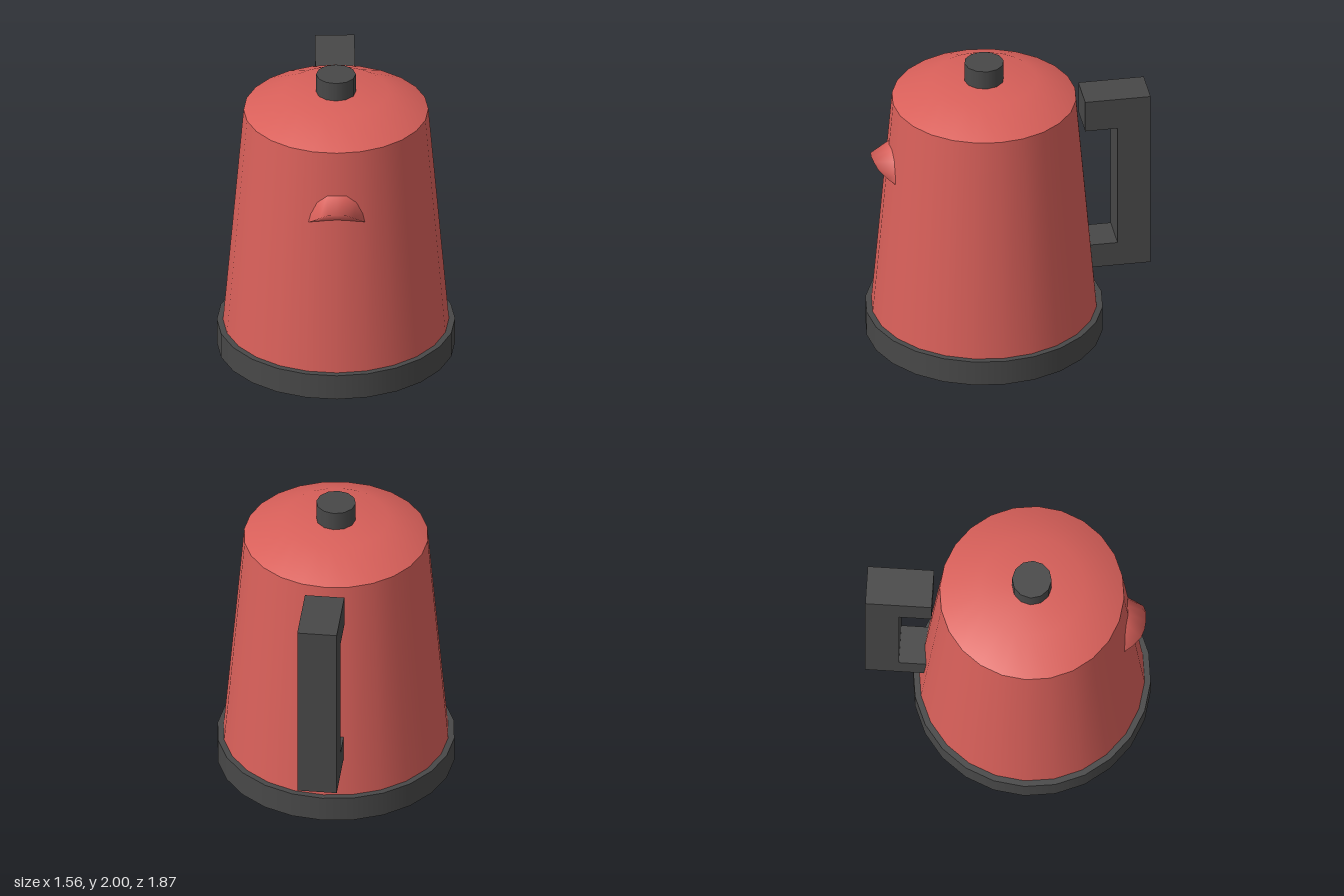
import * as THREE from 'three';

export function createModel() {
  const model = new THREE.Group();
  const red = new THREE.MeshStandardMaterial({ color: 0xd9605a });
  const dark = new THREE.MeshStandardMaterial({ color: 0x484848 });
  const axisZ = 0.15; // the pot sits forward of the handle

  const add = (name, geometry, material, y = 0, z = 0) => {
    const mesh = new THREE.Mesh(geometry, material);
    mesh.name = name;
    mesh.position.set(0, y, z);
    model.add(mesh);
    return mesh;
  };

  // Round parts
  add('base', new THREE.CylinderGeometry(0.78, 0.78, 0.175, 24), dark, 0.0875, axisZ);
  add('body', new THREE.CylinderGeometry(0.605, 0.74, 1.565, 24, 1, true), red, 0.9575, axisZ);
  const lidProfile = [[0.605, 1.74], [0.345, 1.87], [0, 1.87]].map(p => new THREE.Vector2(...p));
  add('lid', new THREE.LatheGeometry(lidProfile, 24), red, 0, axisZ);
  add('knob', new THREE.CylinderGeometry(0.13, 0.13, 0.13, 12), dark, 1.935, axisZ);

  // Square C-shaped handle, outlined in (-z, y) and extruded across x
  const outline = [[0.5, 1.7], [0.5, 1.48], [0.715, 1.48], [0.715, 0.61],
    [0.53, 0.61], [0.545, 0.44], [0.935, 0.44], [0.935, 1.7]];
  const handleShape = new THREE.Shape(outline.map(p => new THREE.Vector2(...p)));
  const handle = new THREE.ExtrudeGeometry(handleShape, { depth: 0.26, bevelEnabled: false });
  handle.translate(0, 0, -0.13).rotateY(Math.PI / 2);
  add('handle', handle, dark);

  // Spout lip: upper arc, protruding ridge and lower edge, lofted in rows
  const half = [ // x, y of the upper arc | x, y, z of the ridge | x, y of the lower edge
    [0, 1.44, 0, 1.355, 0.9, 0, 1.26],
    [0.065, 1.43, 0.06, 1.35, 0.895, 0.065, 1.257],
    [0.13, 1.38, 0.11, 1.32, 0.875, 0.13, 1.245],
    [0.172, 1.3, 0.158, 1.27, 0.82, 0.165, 1.238],
    [0.185, 1.235, 0.185, 1.235, 0.77, 0.185, 1.235],
  ];
  const columns = [
    ...half.slice(1).reverse().map(([a, b, c, d, e, f, g]) => [-a, b, -c, d, e, -f, g]),
    ...half,
  ];
  const onBody = (x, y) => {
    const r = 0.74 - (y - 0.175) * 0.135 / 1.565;
    return [x, y, axisZ + Math.sqrt(r * r - x * x) - 0.005];
  };
  const rows = [
    columns.map(c => onBody(c[0], c[1])),
    columns.map(c => [c[2], c[3], c[4]]),
    columns.map(c => onBody(c[5], c[6])),
  ];
  const n = columns.length;
  const index = [];
  for (let j = 0; j < 2; j++) {
    for (let i = 0; i < n - 1; i++) {
      const a = j * n + i, b = a + n;
      index.push(a, b, a + 1, b, b + 1, a + 1);
    }
  }
  const spout = new THREE.BufferGeometry();
  spout.setAttribute('position', new THREE.Float32BufferAttribute(rows.flat(2), 3));
  spout.setIndex(index);
  spout.computeVertexNormals();
  const spoutMaterial = red.clone();
  spoutMaterial.side = THREE.DoubleSide;
  add('spout', spout, spoutMaterial);

  return model;
}
